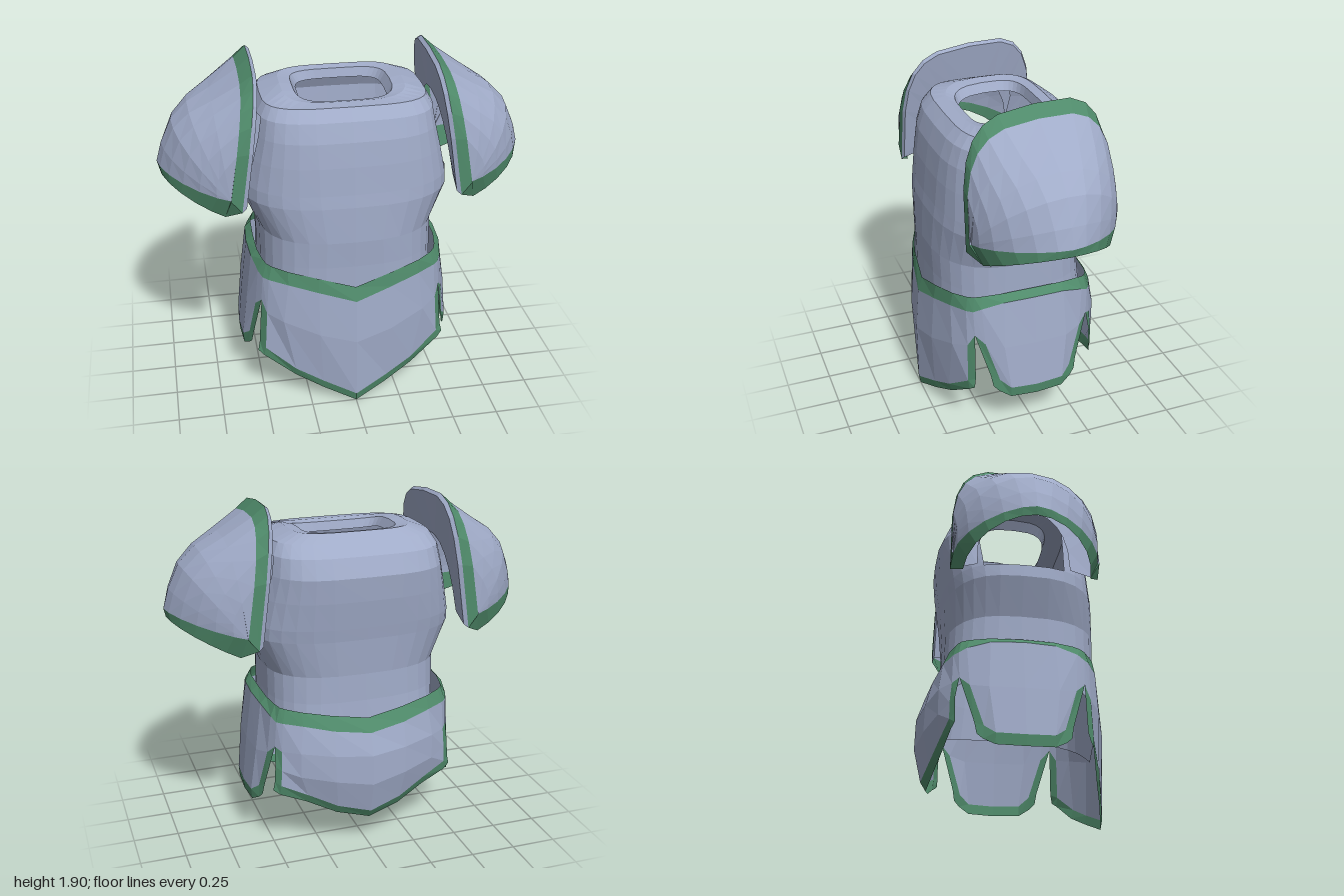
import * as THREE from 'three';

const steel = new THREE.MeshStandardMaterial({ color: 0xa0abc8, flatShading: true, side: THREE.DoubleSide });
const trim = new THREE.MeshStandardMaterial({ color: 0x4f8a6a, flatShading: true, side: THREE.DoubleSide });

// Sheet through columns of points; kind(i, j) returns 'steel', 'trim' or null (hole) per cell.
function sheet(name, cols, kind, mirror = 1) {
  const pos = { steel: [], trim: [] };
  for (let i = 0; i < cols.length - 1; i++) {
    for (let j = 0; j < cols[i].length - 1; j++) {
      const k = kind(i, j);
      if (!k) continue;
      const [a, b, c, d] = [cols[i][j], cols[i][j + 1], cols[i + 1][j + 1], cols[i + 1][j]];
      const corners = mirror > 0 ? [a, b, c, a, c, d] : [a, c, b, a, d, c];
      for (const p of corners) pos[k].push(p[0] * mirror, p[1], p[2]);
    }
  }
  const group = new THREE.Group();
  group.name = name;
  for (const [k, material] of [['steel', steel], ['trim', trim]]) {
    if (!pos[k].length) continue;
    const g = new THREE.BufferGeometry();
    g.setAttribute('position', new THREE.Float32BufferAttribute(pos[k], 3));
    g.computeVertexNormals();
    const mesh = new THREE.Mesh(g, material);
    mesh.name = name + (k === 'trim' ? 'Trim' : 'Plate');
    group.add(mesh);
  }
  return group;
}

const power = (v, e) => Math.sign(v) * Math.abs(v) ** e;

// Breastplate: rounded-box rings [y, half width, front z, back z, squareness], collar first
function torso() {
  const rings = [
    [1.69, 0.235, 0.185, 0.185, 4], [1.74, 0.265, 0.20, 0.20, 4], [1.75, 0.33, 0.24, 0.25, 4],
    [1.71, 0.44, 0.31, 0.31, 3.8], [1.65, 0.475, 0.365, 0.39, 3.6], [1.55, 0.495, 0.40, 0.435, 3.4],
    [1.42, 0.53, 0.42, 0.425, 3.1], [1.27, 0.565, 0.435, 0.405, 2.9], [1.20, 0.57, 0.445, 0.395, 2.8],
    [1.00, 0.485, 0.455, 0.38, 2.8], [0.85, 0.485, 0.45, 0.385, 2.9], [0.66, 0.49, 0.455, 0.42, 2.9],
  ];
  const cols = [];
  for (let i = 0; i <= 32; i++) {
    const a = (i / 32) * Math.PI * 2, s = Math.sin(a), c = Math.cos(a);
    cols.push(rings.map(([y, hx, zf, zb, n], j) => {
      const x = hx * power(s, 2 / n);
      let drop = 0;
      if (j < 3) drop = 0.035 * Math.max(0, c); // collar dips at the front
      if (j === rings.length - 1) drop = (c > 0 ? 0.28 : 0.2) * (1 - Math.abs(x) / hx); // pointed lower edge
      return [x, y - drop, (c > 0 ? zf : zb) * power(c, 2 / n)];
    }));
  }
  // armholes at both sides
  return sheet('torso', cols, (i, j) =>
    (j >= 4 && j <= 6 && Math.abs((i % 16) + 0.5 - 8) < 2 ? null : 'steel'));
}

// Skirt flaps: half columns from centre to edge.
// Points run belt top, belt bottom, notch, ..., trim top, hem.
const corner = [[0.465, 0.84, 0.315], [0.49, 0.765, 0.33], [0.5, 0.62, 0.325]];
const frontHalf = [
  [[0, 0.73, 0.465], [0, 0.65, 0.49], [0, 0.4, 0.51], [0, 0.05, 0.51], [0, 0, 0.5]],
  [[0.2, 0.79, 0.445], [0.2, 0.71, 0.46], [0.2, 0.45, 0.48], [0.18, 0.13, 0.465], [0.18, 0.08, 0.455]],
  [[0.36, 0.825, 0.4], [0.36, 0.75, 0.415], [0.39, 0.52, 0.42], [0.33, 0.205, 0.425], [0.33, 0.155, 0.41]],
  [[0.44, 0.835, 0.345], [0.46, 0.762, 0.36], [0.475, 0.55, 0.36], [0.49, 0.325, 0.365], [0.5, 0.275, 0.36]],
  [...corner, [0.52, 0.35, 0.33], [0.53, 0.3, 0.34]],
];
const backHalf = [
  [[0, 0.76, -0.42], [0, 0.69, -0.47], [0, 0.57, -0.51], [0, 0.4, -0.515], [0, 0.22, -0.475], [0, 0.17, -0.445]],
  [[0.2, 0.79, -0.4], [0.2, 0.715, -0.44], [0.2, 0.58, -0.475], [0.2, 0.43, -0.48], [0.18, 0.265, -0.445], [0.18, 0.215, -0.42]],
  [[0.36, 0.82, -0.37], [0.36, 0.75, -0.4], [0.38, 0.6, -0.42], [0.38, 0.46, -0.42], [0.34, 0.34, -0.405], [0.34, 0.29, -0.385]],
  [[0.44, 0.835, -0.335], [0.46, 0.762, -0.355], [0.47, 0.6, -0.36], [0.475, 0.49, -0.37], [0.48, 0.4, -0.37], [0.485, 0.345, -0.36]],
  [...corner.map(([x, y, z]) => [x, y, -z]), [0.505, 0.51, -0.345], [0.51, 0.42, -0.345], [0.52, 0.37, -0.345]],
];
const sideHalf = [
  [[0.505, 0.855, 0], [0.545, 0.82, 0], [0.58, 0.55, 0], [0.607, 0.29, 0], [0.602, 0.23, 0]],
  [[0.5, 0.852, 0.17], [0.535, 0.815, 0.17], [0.57, 0.55, 0.18], [0.598, 0.295, 0.15], [0.593, 0.235, 0.15]],
  [[0.48, 0.845, 0.275], [0.51, 0.785, 0.29], [0.53, 0.57, 0.275], [0.565, 0.34, 0.205], [0.57, 0.27, 0.21]],
  [...corner, [0.545, 0.36, 0.25], [0.555, 0.3, 0.24]],
];

function flap(name, half, axis, mirror) {
  const flip = (p) => p.map((v, k) => (k === axis ? -v : v));
  const cols = [...half.slice().reverse(), ...half.slice(1).map((col) => col.map(flip))];
  const last = cols.length - 2;
  const hem = half[0].length - 2;
  const kind = (i, j) => (j === 0 || j === hem || (j >= 2 && (i === 0 || i === last)) ? 'trim' : 'steel');
  return sheet(name, cols, kind, mirror);
}

// Shoulder guard: arches fanned like a visor [apex x, apex y, base x, base y, half depth, squareness]
function shoulder(name, mirror) {
  const arches = [
    [0.5, 1.66, 0.575, 1.25, 0.25, 2.6], // flange facing the armhole
    [0.465, 1.885, 0.56, 1.22, 0.385, 3.7],
    [0.485, 1.9, 0.585, 1.2, 0.395, 3.7],
    [0.55, 1.845, 0.64, 1.268, 0.395, 3.4],
    [0.7, 1.75, 0.64, 1.268, 0.39, 2.8],
    [0.82, 1.68, 0.64, 1.268, 0.385, 2.3],
    [0.91, 1.59, 0.64, 1.268, 0.385, 2],
    [0.97, 1.46, 0.64, 1.268, 0.385, 1.75],
    [1.0, 1.355, 0.64, 1.268, 0.385, 1.6],
    [0.99, 1.31, 0.67, 1.155, 0.335, 1.8],
  ];
  const cols = arches.map(([ax, ay, bx, by, hz, n]) => {
    const col = [];
    const lean = 0.15 * (ay - 1.31); // arches sit slightly higher at the back
    for (let j = 0; j <= 12; j++) {
      const t = (j / 12) * Math.PI;
      const h = j % 12 ? power(Math.sin(t), 2 / n) : 0;
      const z = -hz * power(Math.cos(t), 2 / n);
      col.push([bx + (ax - bx) * h, by + (ay - by) * h - lean * z * h, z]);
    }
    return col;
  });
  const group = sheet(name, cols, (i) => (i === 2 || i === 8 ? 'trim' : 'steel'), mirror);
  // trim patches where the rim and the hem meet
  const patch = (j) => [[cols[3][j], cols[2][j]], [cols[8][j], cols[9][j]]];
  group.add(sheet(name + 'FrontCorner', patch(12), () => 'trim', mirror));
  group.add(sheet(name + 'BackCorner', patch(0).reverse(), () => 'trim', mirror));
  return group;
}

export function createModel() {
  const model = new THREE.Group();
  model.name = 'bodyArmour';
  model.add(
    torso(),
    flap('frontFlap', frontHalf, 0, -1),
    flap('backFlap', backHalf, 0, 1),
    flap('leftFlap', sideHalf, 2, 1),
    flap('rightFlap', sideHalf, 2, -1),
    shoulder('leftShoulderGuard', 1),
    shoulder('rightShoulderGuard', -1),
  );
  return model;
}
